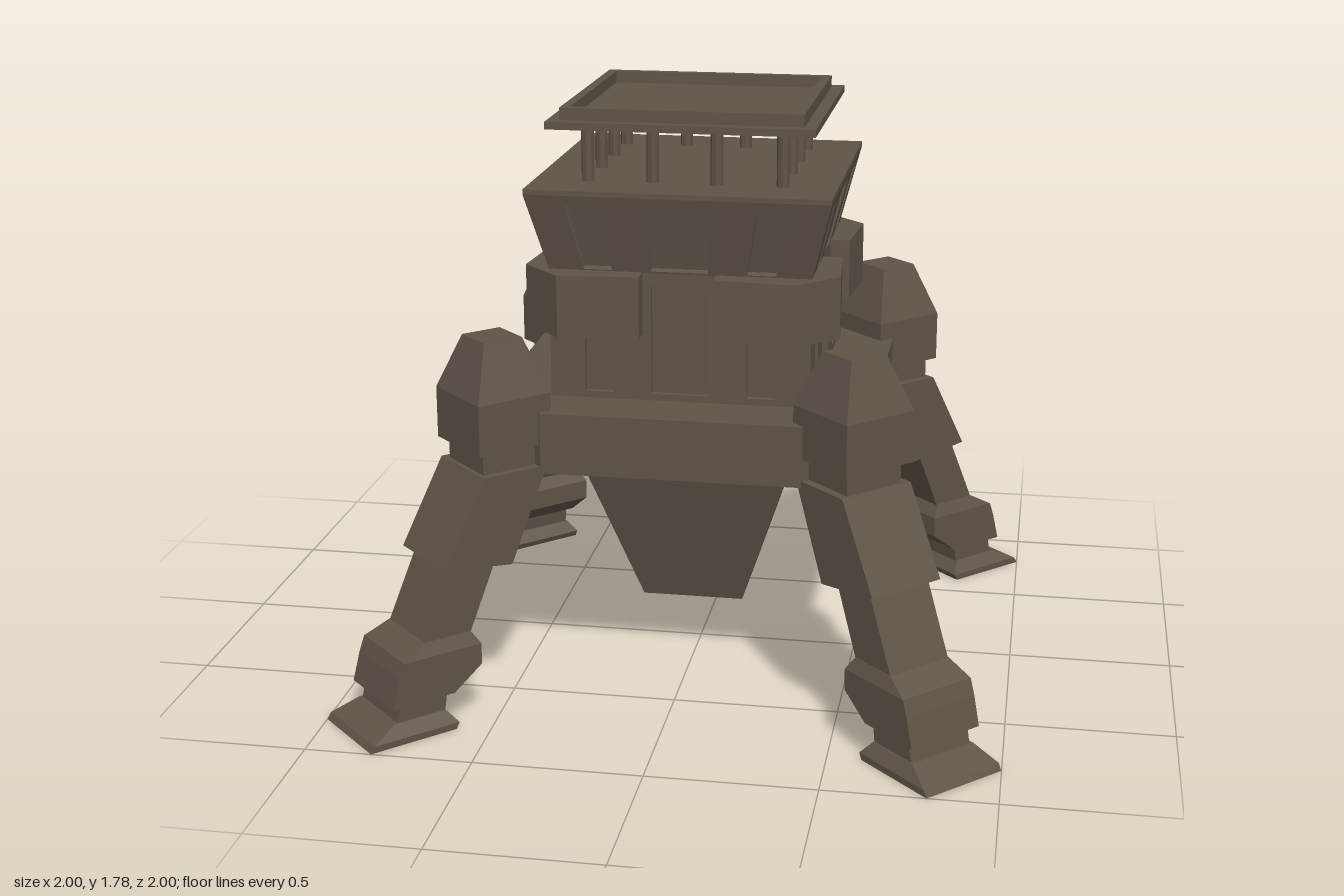
import * as THREE from 'three';

const hull = new THREE.MeshStandardMaterial({ color: 0x5e5447 });
hull.name = 'brown hull';

function add(parent, name, geometry, x = 0, y = 0, z = 0) {
  const mesh = new THREE.Mesh(geometry, hull);
  mesh.name = name;
  mesh.position.set(x, y, z);
  parent.add(mesh);
  return mesh;
}

// Flat-sided solid through convex rings of [x, y, z], counterclockwise seen from above, bottom first
function loft(rings) {
  const pos = [];
  const tri = (a, b, c) => pos.push(...a, ...b, ...c);
  const n = rings[0].length;
  for (let k = 0; k < rings.length - 1; k++) {
    const lo = rings[k], hi = rings[k + 1];
    for (let i = 0; i < n; i++) {
      const j = (i + 1) % n;
      tri(lo[i], lo[j], hi[j]);
      tri(lo[i], hi[j], hi[i]);
    }
  }
  const bottom = rings[0], top = rings[rings.length - 1];
  for (let i = 1; i < n - 1; i++) {
    tri(bottom[0], bottom[i + 1], bottom[i]);
    tri(top[0], top[i], top[i + 1]);
  }
  const g = new THREE.BufferGeometry();
  g.setAttribute('position', new THREE.Float32BufferAttribute(pos, 3));
  g.computeVertexNormals();
  return g;
}

const atHeight = (y, points) => points.map(([x, z]) => [x, y, z]);
const square = (a, y) => atHeight(y, [[-a, a], [a, a], [a, -a], [-a, -a]]);
const octagon = (a, c, y) => atHeight(y,
  [[c, a], [a, c], [a, -c], [c, -a], [-c, -a], [-a, -c], [-a, c], [-c, a]]);

// Leg section: outer height, inner radius, outer radius, half width, inner height
const legRing = ([y, r0, r1, h, yIn = y]) =>
  [[r1, y, h], [r1, y, -h], [r0, yIn, -h], [r0, yIn, h]];

const path = (points) => points.map(([x, y]) => new THREE.Vector2(x, y));

// Wall panel with recessed openings, outer face on z = 0
function wall(outline, holes, depth) {
  const shape = new THREE.Shape(path(outline));
  holes.forEach((h) => shape.holes.push(new THREE.Path(path(h))));
  return new THREE.ExtrudeGeometry(shape, { depth, bevelEnabled: false }).translate(0, 0, -depth);
}

const quad = (b0, b1, t0, t1, y0, y1) => [[b0, y0], [b1, y0], [t1, y1], [t0, y1]];

// Shapes of one leg, foot to head
const legParts = {
  foot: [[0, 0.99, 1.273, 0.141], [0.02, 0.98, 1.26, 0.141], [0.058, 1.01, 1.18, 0.115]],
  ankle: [[0.05, 1.01, 1.17, 0.11], [0.12, 1.0, 1.155, 0.11]],
  shin: [[0.11, 0.985, 1.188, 0.127], [0.2, 0.89, 1.163, 0.127, 0.18],
    [0.245, 0.89, 1.146, 0.127], [0.285, 0.915, 1.07, 0.11]],
  knee: [[0.28, 0.915, 1.07, 0.108], [0.52, 0.81, 0.96, 0.108]],
  thigh: [[0.5, 0.777, 1.004, 0.127, 0.47], [0.755, 0.65, 0.863, 0.127]],
  neck: [[0.75, 0.65, 0.85, 0.1], [0.825, 0.65, 0.85, 0.1]],
  shoulder: [[0.82, 0.63, 0.874, 0.124], [0.975, 0.63, 0.874, 0.124], [1.14, 0.688, 0.815, 0.064]],
};

export function createModel() {
  const model = new THREE.Group();
  model.name = 'walkerFortress';

  // Tapered hopper and chamfered platform
  add(model, 'hopper', loft([square(0.157, 0.2), square(0.333, 0.73)]));
  add(model, 'platform', loft([octagon(0.45, 0.37, 0.715),
    octagon(0.57, 0.385, 0.735), octagon(0.57, 0.385, 0.92)]));

  // Solid cores behind the recessed walls
  add(model, 'bodyCore', new THREE.BoxGeometry(0.74, 0.4, 0.74), 0, 1.115, 0);
  add(model, 'cabinCore', loft([square(0.365, 1.3), square(0.425, 1.55)]));

  const bodyWall = wall(quad(-0.39, 0.39, -0.39, 0.39, 0.92, 1.312), [
    quad(-0.085, 0.085, -0.085, 0.085, 0.94, 1.27),
    quad(0.2, 0.285, 0.2, 0.285, 0.94, 1.2),
    quad(-0.285, -0.2, -0.285, -0.2, 0.94, 1.2),
  ], 0.025);
  const slant = Math.hypot(0.06, 0.235);
  const cabinWall = wall(quad(-0.39, 0.39, -0.45, 0.45, 0, slant), [
    quad(-0.085, 0.085, -0.095, 0.095, 0.006, 0.21),
    quad(0.2, 0.285, 0.235, 0.33, 0.006, 0.21),
    quad(-0.285, -0.2, -0.33, -0.235, 0.006, 0.21),
  ], 0.028).rotateX(Math.atan2(0.06, 0.235)).translate(0, 1.31, 0.39);
  const armour = [[0.11, 0.45], [0.35, 0.47], [0.47, 0.35], [0.45, 0.11], [0.11, 0.11]];
  const armourBlock = loft([atHeight(1.125, armour), atHeight(1.312, armour)]);

  // Four matching sides, corners and legs
  for (let k = 0; k < 4; k++) {
    const side = new THREE.Group();
    side.name = 'side' + (k + 1);
    side.rotation.y = k * Math.PI / 2;
    add(side, 'bodyWall', bodyWall, 0, 0, 0.39);
    add(side, 'cabinWall', cabinWall);
    add(side, 'cornerArmour', armourBlock);
    for (const x of [-0.29, -0.095, 0.095]) {
      add(side, 'roofPost', new THREE.CylinderGeometry(0.019, 0.019, 0.19, 8).toNonIndexed(),
        x, 1.645, 0.29).geometry.computeVertexNormals();
    }
    model.add(side);

    const leg = new THREE.Group();
    leg.name = 'leg' + (k + 1);
    leg.rotation.y = Math.PI / 4 + k * Math.PI / 2;
    for (const [name, sections] of Object.entries(legParts)) {
      add(leg, name, loft(sections.map(legRing)));
    }
    model.add(leg);
  }

  // Lookout deck, roof plate and raised roof rim
  add(model, 'deck', new THREE.BoxGeometry(0.9, 0.015, 0.9), 0, 1.5525, 0);
  add(model, 'roof', new THREE.BoxGeometry(0.79, 0.022, 0.79), 0, 1.738, 0);
  const rim = wall(quad(-0.358, 0.358, -0.358, 0.358, -0.358, 0.358),
    [quad(-0.33, 0.33, -0.33, 0.33, -0.33, 0.33)], 0.037).rotateX(-Math.PI / 2);
  add(model, 'roofRim', rim, 0, 1.785, 0);

  return model;
}
